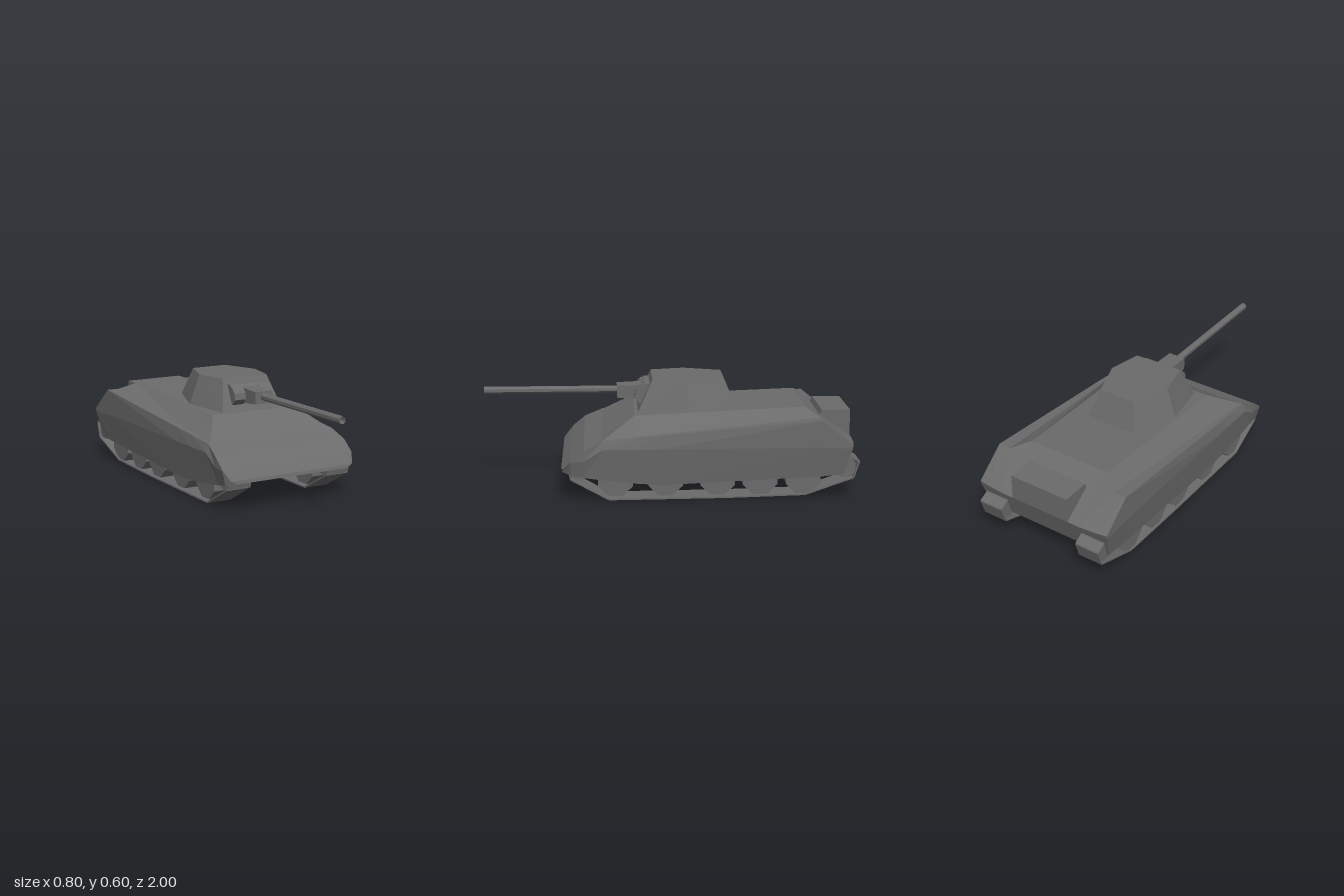
import * as THREE from 'three';
import { ConvexGeometry } from 'three/addons/geometries/ConvexGeometry.js';

const mat = new THREE.MeshStandardMaterial({ color: 0x6b6b6b, flatShading: true, side: THREE.DoubleSide });

function add(parent, name, geometry, x = 0, y = 0, z = 0) {
  const mesh = new THREE.Mesh(geometry, mat);
  mesh.name = name;
  mesh.position.set(x, y, z);
  parent.add(mesh);
  return mesh;
}

// Convex solid from half its corners, mirrored in x
function mirroredSolid(corners) {
  return new ConvexGeometry(corners.flatMap(([x, y, z]) =>
    [new THREE.Vector3(x, y, z), new THREE.Vector3(-x, y, z)]));
}

// Hull half sections, nose to tail: deck edge, fender inner, fender outer,
// side crease, skirt bottom
const at = (z, pts) => pts.map(([x, y, dz = 0]) => [x, y, z + dz]);
const sections = [
  at(0.58, [[0.28, 0.17], [0.33, 0.17], [0.345, 0.17, -0.002], [0.375, 0.17, -0.01], [0.34, 0.15, -0.005]]),
  at(0.53, [[0.28, 0.222], [0.37, 0.222], [0.4, 0.222], [0.4, 0.215], [0.382, 0.14]]),
  at(0.46, [[0.28, 0.28], [0.37, 0.28], [0.4, 0.28], [0.4, 0.22], [0.378, 0.125]]),
  at(0.36, [[0.28, 0.32], [0.37, 0.325], [0.385, 0.325], [0.4, 0.28], [0.377, 0.11]]),
  at(0.19, [[0.257, 0.43], [0.364, 0.34], [0.387, 0.34], [0.4, 0.28], [0.376, 0.09]]),
  at(0.05, [[0.254, 0.435], [0.359, 0.352], [0.39, 0.352], [0.4, 0.28], [0.375, 0.08]]),
  at(-0.79, [[0.24, 0.465, 0.07], [0.33, 0.425], [0.4, 0.425], [0.4, 0.28], [0.375, 0.115]]),
  at(-0.96, [[0.24, 0.29, -0.015], [0.33, 0.29, -0.008], [0.4, 0.29, 0.003], [0.4, 0.27, 0.007], [0.375, 0.125, 0.05]]),
];

// Shell open underneath
function hullGeometry() {
  const pos = [];
  const flip = ([x, y, z]) => [-x, y, z];
  const quad = (a, b, c, d) => pos.push(...a, ...b, ...d, ...b, ...c, ...d);
  for (let i = 0; i < sections.length - 1; i++) {
    const p = sections[i], q = sections[i + 1];
    quad(flip(p[0]), p[0], q[0], flip(q[0]));
    for (let j = 0; j < p.length - 1; j++) {
      quad(p[j], p[j + 1], q[j + 1], q[j]);
      // Mirrored side keeps the same diagonal
      const [a, b, c, d] = [p[j], p[j + 1], q[j + 1], q[j]].map(flip);
      pos.push(...a, ...d, ...b, ...b, ...d, ...c);
    }
  }
  // Nose lip and tail plate
  const nose = sections[0], tail = sections.at(-1);
  for (let j = 0; j < 4; j++) {
    quad(nose[j], flip(nose[j]), flip(nose[j + 1]), nose[j + 1]);
    quad(flip(tail[j]), tail[j], tail[j + 1], flip(tail[j + 1]));
  }
  const g = new THREE.BufferGeometry();
  g.setAttribute('position', new THREE.Float32BufferAttribute(pos, 3));
  g.computeVertexNormals();
  return g;
}

function wheel(parent, name, x, y, z, radius) {
  const g = new THREE.CylinderGeometry(radius, radius, 0.12, 8);
  g.rotateY(Math.PI / 8).rotateZ(Math.PI / 2);
  add(parent, name, g, x, y, z);
}

// Road wheel: only the part below the skirt, as cross-section [z, y]
function roadWheel(parent, x, z) {
  const outline = [[0.092, 0.12], [0.092, 0.074], [0.038, 0.02]];
  const corners = outline.flatMap(([dz, y]) => [1, -1].flatMap((s) =>
    [-0.06, 0.06].map((dx) => new THREE.Vector3(dx, y, dz * s))));
  add(parent, 'roadWheel', new ConvexGeometry(corners), x, 0, z);
}

// Track run as [z, y]; it ends inside the hull
const trackPath = [[0.5, 0.2], [0.54, 0.165], [0.53, 0.115], [0.33, 0.004], [-0.3, 0.008],
  [-0.71, 0.018], [-0.967, 0.107], [-0.995, 0.195], [-0.945, 0.222], [-0.9, 0.215]];

function runningGear(side) {
  const gear = new THREE.Group();
  gear.name = side > 0 ? 'leftRunningGear' : 'rightRunningGear';
  const x = 0.305 * side;
  for (let i = 0; i < trackPath.length - 1; i++) {
    const [z, y] = trackPath[i], [z2, y2] = trackPath[i + 1];
    const length = Math.hypot(z2 - z, y2 - y);
    const strip = add(gear, 'trackSegment', new THREE.BoxGeometry(0.14, 0.008, length),
      x, (y + y2) / 2, (z + z2) / 2);
    strip.rotation.x = -Math.atan2(y2 - y, z2 - z);
  }
  for (const z of [0.295, 0.03, -0.245, -0.47, -0.7]) roadWheel(gear, x, z);
  wheel(gear, 'frontIdler', x, 0.155, 0.485, 0.05);
  wheel(gear, 'rearSprocket', x, 0.16, -0.925, 0.057);
  return gear;
}

export function createModel() {
  const model = new THREE.Group();
  model.name = 'tank';

  add(model, 'hull', hullGeometry());
  add(model, 'rearStowageBox', mirroredSolid([
    [0.173, 0.43, -0.822], [0.173, 0.385, -0.8], [0.173, 0.29, -0.975], [0.173, 0.43, -0.975],
  ]));
  model.add(runningGear(1), runningGear(-1));

  // Six-sided turret
  add(model, 'turret', mirroredSolid([
    [0.15, 0.43, -0.365], [0.24, 0.43, -0.1], [0.185, 0.43, 0.17],
    [0.105, 0.6, -0.295], [0.178, 0.6, -0.09], [0.138, 0.6, 0.09],
  ]));

  // Gun mount: two side drums, a back plate and a tapered collar
  const drum = [[0.57, 0.1], [0.56, 0.15], [0.53, 0.18], [0.495, 0.185], [0.465, 0.16], [0.465, 0.1]];
  for (const side of [1, -1]) {
    add(model, 'mantletDrum', new ConvexGeometry(drum.flatMap(([y, z]) =>
      [0.05, 0.118].map((x) => new THREE.Vector3(x * side, y, z)))));
  }
  add(model, 'mantletPlate', mirroredSolid([
    [0.118, 0.57, 0.1], [0.118, 0.57, 0.13], [0.118, 0.555, 0.15],
    [0.118, 0.475, 0.15], [0.118, 0.475, 0.1],
  ]));
  add(model, 'gunCollar', mirroredSolid([
    [0.05, 0.555, 0.12], [0.05, 0.47, 0.12], [0.05, 0.55, 0.2],
    [0.05, 0.475, 0.2], [0.048, 0.548, 0.28], [0.048, 0.482, 0.28],
  ]));

  // Hollow barrel
  const barrel = new THREE.CylinderGeometry(0.02, 0.02, 0.75, 8, 1, true);
  barrel.rotateY(Math.PI / 8).rotateX(Math.PI / 2);
  add(model, 'gunBarrel', barrel, 0, 0.52, 0.625);

  return model;
}
